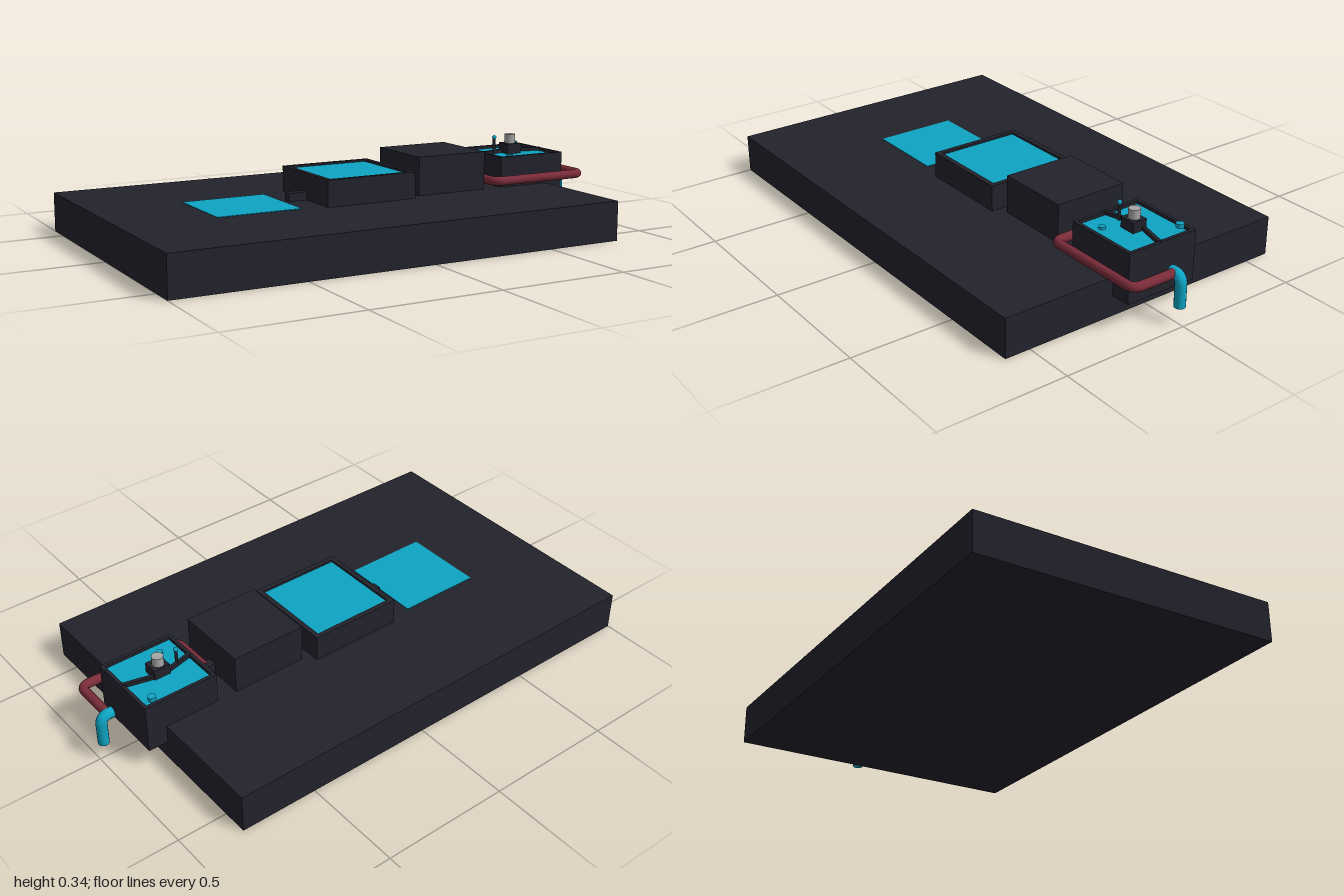
import * as THREE from 'three';

const mat = (name, color, side = THREE.FrontSide) => {
  const m = new THREE.MeshStandardMaterial({ color, side });
  m.name = name;
  return m;
};

export function createModel() {
  const model = new THREE.Group();
  model.name = 'waterSystem';
  const dark = mat('darkCasing', 0x22222c);
  const cyan = mat('water', 0x0ea5c4);
  const red = mat('redPipe', 0x7a2c39);
  const grey = mat('greyMetal', 0xa6a6a6);

  const add = (name, geometry, material, x = 0, y = 0, z = 0) => {
    const mesh = new THREE.Mesh(geometry, material);
    mesh.name = name;
    mesh.position.set(x, y, z);
    model.add(mesh);
    return mesh;
  };

  // box given by its lower and upper bounds
  const block = (name, material, [x0, x1], [y0, y1], [z0, z1]) =>
    add(name, new THREE.BoxGeometry(x1 - x0, y1 - y0, z1 - z0), material,
      (x0 + x1) / 2, (y0 + y1) / 2, (z0 + z1) / 2);

  const cylinder = (name, material, r, h, x, y, z) =>
    add(name, new THREE.CylinderGeometry(r, r, h, 20), material, x, y + h / 2, z);

  // box with a shallow basin in its top, filled with a thin water sheet
  const tank = (name, [x0, x1], [y0, y1], [z0, z1], rim, depth) => {
    const floor = y1 - depth - 0.005;
    block(name + 'Body', dark, [x0, x1], [y0, floor], [z0, z1]);
    for (const [a, b] of [[z0, z0 + rim], [z1 - rim, z1]])
      block(name + 'Rim', dark, [x0, x1], [floor, y1], [a, b]);
    for (const [a, b] of [[x0, x0 + rim], [x1 - rim, x1]])
      block(name + 'Rim', dark, [a, b], [floor, y1], [z0 + rim, z1 - rim]);
    block(name + 'Water', cyan, [x0 + rim, x1 - rim], [floor, y1 - depth], [z0 + rim, z1 - rim]);
  };

  // pipe through points with rounded corners and closed ends
  const pipe = (name, material, points, radius, bend) => {
    const p = points.map((a) => new THREE.Vector3(...a));
    const path = new THREE.CurvePath();
    let from = p[0];
    for (let i = 1; i < p.length - 1; i++) {
      const into = p[i].clone().add(p[i - 1].clone().sub(p[i]).setLength(bend));
      const out = p[i].clone().add(p[i + 1].clone().sub(p[i]).setLength(bend));
      path.add(new THREE.LineCurve3(from, into));
      path.add(new THREE.QuadraticBezierCurve3(into, p[i], out));
      from = out;
    }
    path.add(new THREE.LineCurve3(from, p[p.length - 1]));
    add(name, new THREE.TubeGeometry(path, 120, radius, 16), material);
    for (const [end, next] of [[p[0], p[1]], [p[p.length - 1], p[p.length - 2]]]) {
      const cap = add(name + 'Cap', new THREE.CircleGeometry(radius, 16), material, ...end.toArray());
      cap.lookAt(end.clone().multiplyScalar(2).sub(next));
    }
  };

  // ground slab and the pool sunk in it
  block('slab', dark, [-1, 0.805], [0, 0.153], [-0.6, 0.6]);
  block('poolWater', cyan, [-0.64, -0.305], [0.148, 0.155], [-0.165, 0.163]);

  // settling tank, pump house and outlet tank
  tank('settlingTank', [-0.21, 0.165], [0.15, 0.255], [-0.19, 0.187], 0.02, 0.008);
  block('pumpHouse', dark, [0.205, 0.505], [0.15, 0.303], [-0.15, 0.148]);
  tank('outletTank', [0.585, 0.883], [0.08, 0.274], [-0.15, 0.148], 0.014, 0.012);

  // connecting channels
  for (const [x0, x1, y0, y1] of [[-0.285, -0.21, 0.15, 0.185], [0.165, 0.205, 0.175, 0.21], [0.505, 0.585, 0.165, 0.2]])
    block('channel', dark, [x0, x1], [y0, y1], [-0.02, 0.016]);

  // valve hub, knob and the two bent arms over the outlet tank
  block('valveHub', dark, [0.7, 0.765], [0.26, 0.303], [-0.03, 0.03]);
  cylinder('valveKnob', grey, 0.022, 0.037, 0.732, 0.302, -0.002);
  for (const s of [-1, 1]) {
    const arm = add('valveArm', new THREE.BoxGeometry(0.13, 0.014, 0.014), dark, 0.732 + s * 0.08, 0.27, -0.006);
    arm.rotation.y = -s * 0.24;
  }

  // level sensor rod, float and filler cap
  cylinder('sensorRod', dark, 0.006, 0.07, 0.655, 0.26, -0.002);
  add('sensorTip', new THREE.SphereGeometry(0.009, 16, 10), cyan, 0.655, 0.33, -0.002);
  cylinder('float', cyan, 0.013, 0.012, 0.67, 0.26, 0.088);
  cylinder('fillerCap', cyan, 0.015, 0.016, 0.835, 0.272, -0.12);

  // red bypass pipe and the spout it feeds
  pipe('bypassPipe', red, [[0.535, 0.186, 0], [0.535, 0.186, 0.186], [0.949, 0.186, 0.186], [0.949, 0.186, 0]], 0.018, 0.035);
  pipe('spout', cyan, [[0.93, 0.186, 0], [0.978, 0.186, 0], [0.978, 0.068, 0]], 0.021, 0.035);
  return model;
}
